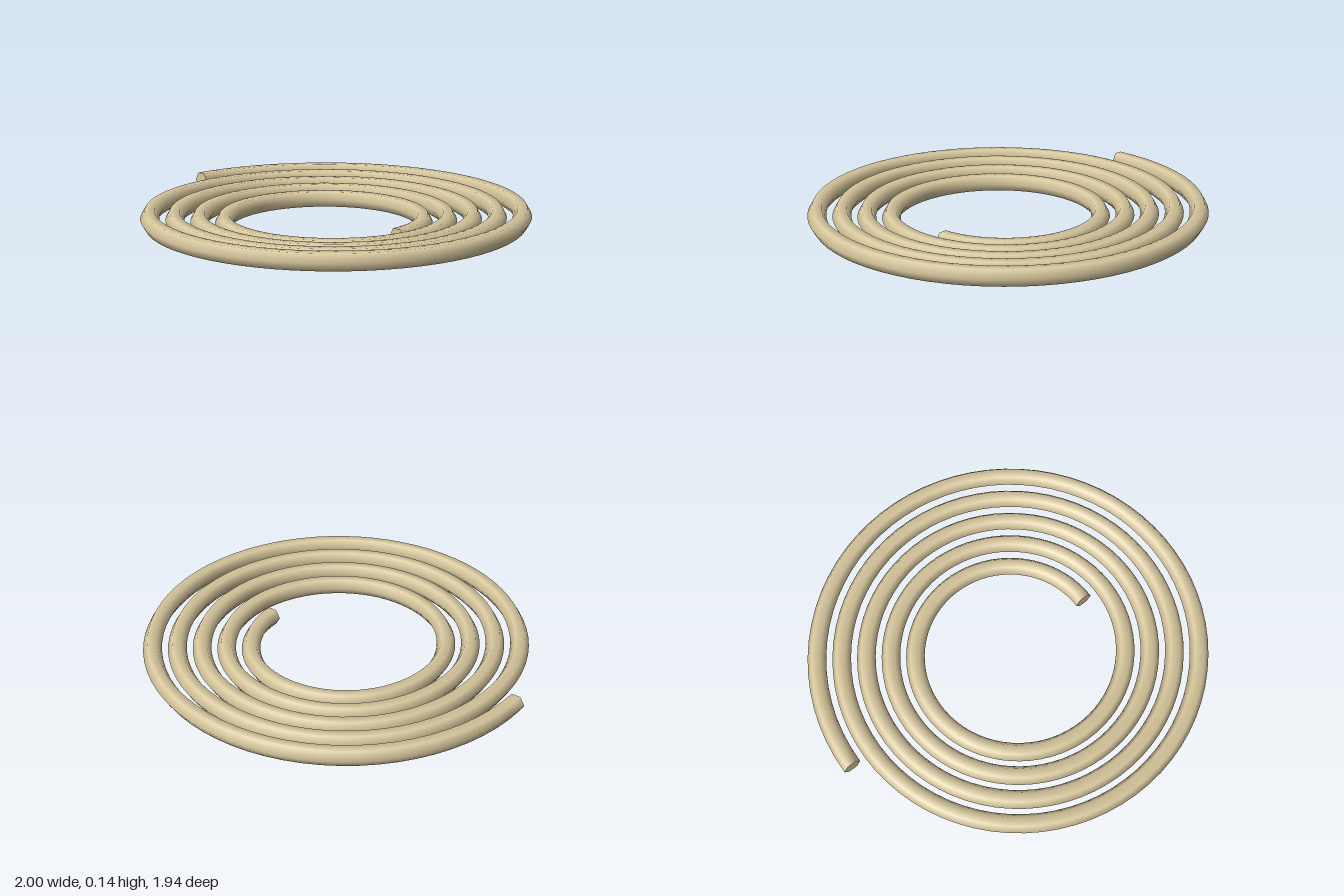
import * as THREE from 'three';

const TURNS = 4.5, SIDES = 6, STEPS = 72 * TURNS;
const TUBE = 0.046, START_RADIUS = 0.443, PITCH = 0.1205, RISE = 0.0125;
const CENTRE_X = 0.03, CENTRE_Z = 0.026;
const BASE_Y = TUBE * Math.sin(Math.PI / 3);

// Point on the slowly climbing spiral after n turns, offset outwards and upwards
function spiralPoint(n, out = 0, up = 0) {
  const angle = n * Math.PI * 2;
  const r = START_RADIUS + PITCH * n + out;
  return new THREE.Vector3(
    CENTRE_X + r * Math.cos(angle), BASE_Y + RISE * n + up, CENTRE_Z - r * Math.sin(angle));
}

// Hexagonal sections swept along the spiral, smooth shaded
function coilGeometry() {
  const positions = [], index = [];
  for (let i = 0; i <= STEPS; i++) {
    for (let j = 0; j < SIDES; j++) {
      const a = (j / SIDES) * Math.PI * 2;
      const p = spiralPoint((i / STEPS) * TURNS, TUBE * Math.cos(a), TUBE * Math.sin(a));
      positions.push(p.x, p.y, p.z);
      if (i < STEPS) {
        const k = (j + 1) % SIDES;
        const p0 = i * SIDES + j, p1 = i * SIDES + k;
        index.push(p0, p0 + SIDES, p1, p1, p0 + SIDES, p1 + SIDES);
      }
    }
  }
  const geometry = new THREE.BufferGeometry();
  geometry.setAttribute('position', new THREE.Float32BufferAttribute(positions, 3));
  geometry.setIndex(index);
  geometry.computeVertexNormals();
  return geometry;
}

export function createModel() {
  const group = new THREE.Group();
  group.name = 'spiralCoil';
  const beige = new THREE.MeshStandardMaterial({ color: 0xd8c89e });
  beige.name = 'beige';

  const coil = new THREE.Mesh(coilGeometry(), beige);
  coil.name = 'coil';
  group.add(coil);

  // Flat caps: both ends of the coil face the front
  for (const [name, turn] of [['innerEnd', 0], ['outerEnd', TURNS]]) {
    const cap = new THREE.Mesh(new THREE.CircleGeometry(TUBE, SIDES), beige);
    cap.name = name;
    cap.position.copy(spiralPoint(turn));
    group.add(cap);
  }
  return group;
}
